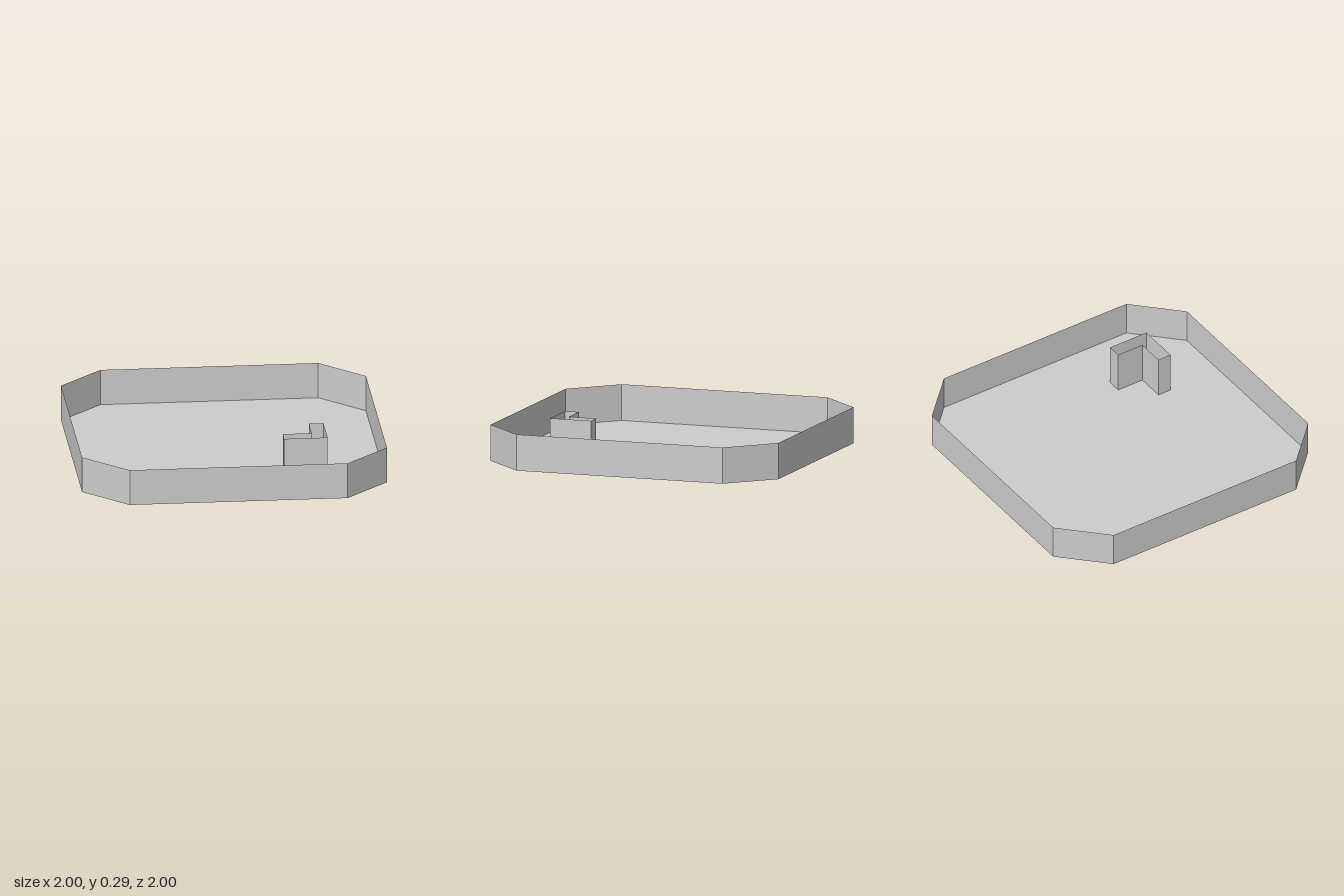
import * as THREE from 'three';

const grey = new THREE.MeshStandardMaterial({ color: 0xcccccc, side: THREE.DoubleSide });
grey.name = 'light grey';

// Upright sheet walls following a closed [x, z] outline, open at top and bottom
function sheetWalls(outline, height) {
  const positions = [];
  outline.forEach(([x0, z0], i) => {
    const [x1, z1] = outline[(i + 1) % outline.length];
    positions.push(
      x0, 0, z0, x1, height, z1, x1, 0, z1,
      x0, 0, z0, x0, height, z0, x1, height, z1
    );
  });
  const geometry = new THREE.BufferGeometry();
  geometry.setAttribute('position', new THREE.Float32BufferAttribute(positions, 3));
  geometry.computeVertexNormals();
  return geometry;
}

// Flat sheet at y = 0 filling an [x, z] outline
function sheetFloor(outline) {
  const shape = new THREE.Shape(outline.map(([x, z]) => new THREE.Vector2(x, -z)));
  return new THREE.ShapeGeometry(shape).rotateX(-Math.PI / 2);
}

export function createModel() {
  const model = new THREE.Group();
  model.name = 'tray';
  const add = (name, geometry) => {
    const mesh = new THREE.Mesh(geometry, grey);
    mesh.name = name;
    model.add(mesh);
  };

  // Square with cut corners
  const c = 0.715;
  const rim = [
    [-c, -1], [c, -1], [1, -c], [1, c],
    [c, 1], [-c, 1], [-1, c], [-1, -c],
  ];
  add('floor', sheetFloor(rim));
  add('outerWall', sheetWalls(rim, 0.24));

  // Hollow L-shaped post, its elbow towards the front left corner
  const near = 0.335, inner = 0.525, far = 0.62;
  const elbow = [
    [near, inner], [inner, inner], [inner, near],
    [far, near], [far, far], [near, far],
  ];
  add('cornerPost', sheetWalls(elbow, 0.29));

  return model;
}
